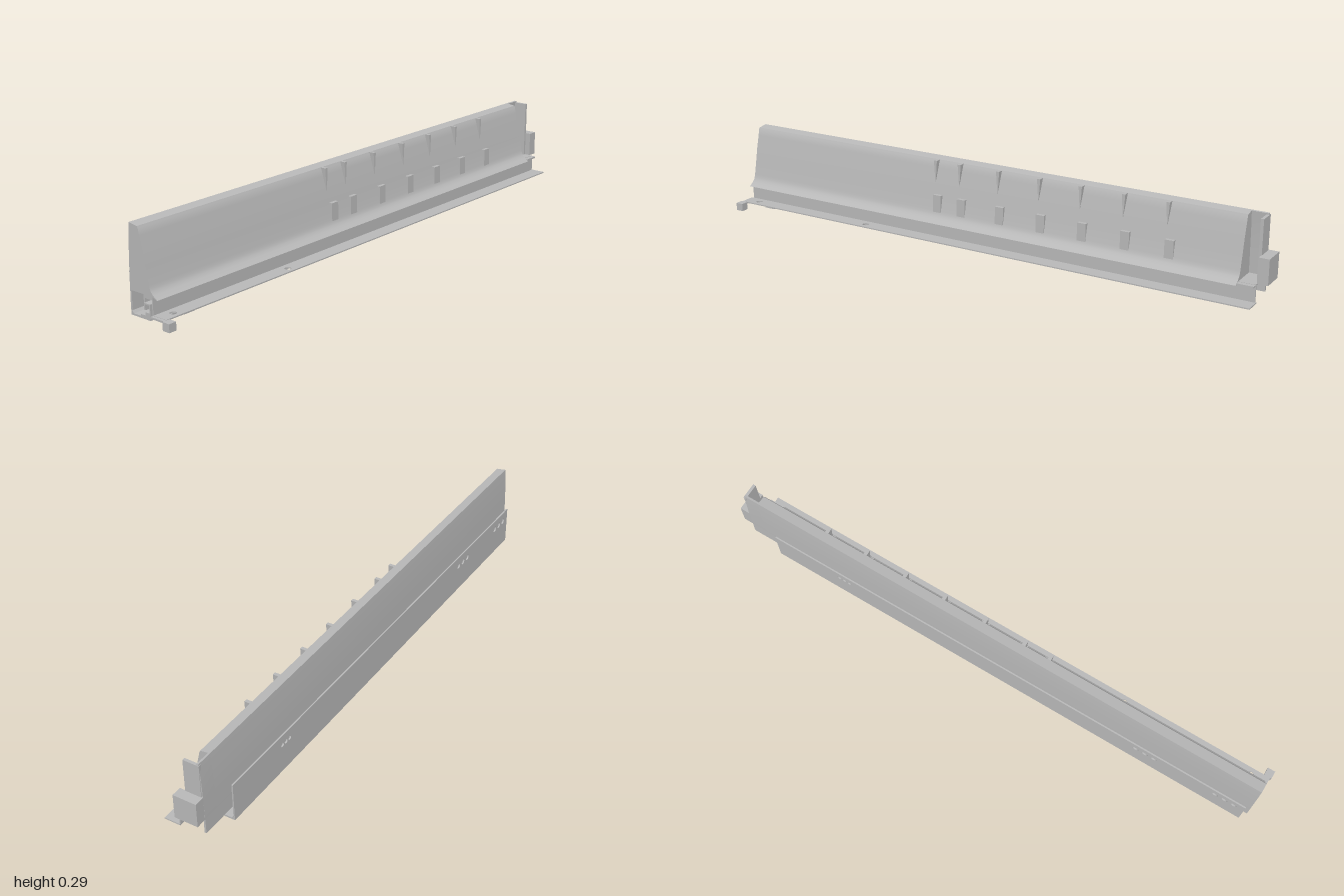
import * as THREE from 'three';
import { toCreasedNormals } from 'three/addons/utils/BufferGeometryUtils.js';

export function createModel() {
  const model = new THREE.Group();
  model.name = 'drawerSideAndRunner';
  const steel = new THREE.MeshStandardMaterial({ color: 0xb8b8b8 });
  steel.name = 'greySteel';

  const add = (name, geo) => {
    const mesh = new THREE.Mesh(geo, steel);
    mesh.name = name;
    model.add(mesh);
    return mesh;
  };
  const shapeOf = (pts) => new THREE.Shape(pts.map(([a, b]) => new THREE.Vector2(a, b)));
  const extrude = (shape, depth) =>
    new THREE.ExtrudeGeometry(shape, { depth, bevelEnabled: false, curveSegments: 10 });
  // Cross-section in x, y run along z
  const rail = (name, pts, z0, z1) =>
    add(name, toCreasedNormals(extrude(shapeOf(pts), z1 - z0).translate(0, 0, z0), 0.35));
  const box = (name, x0, x1, y0, y1, z0, z1) =>
    add(name, new THREE.BoxGeometry(x1 - x0, y1 - y0, z1 - z0)
      .translate((x0 + x1) / 2, (y0 + y1) / 2, (z0 + z1) / 2));
  const hole = (shape, x, y, r) => {
    const p = new THREE.Path();
    p.absarc(x, y, r, 0, Math.PI * 2, true);
    shape.holes.push(p);
  };

  // Tall tapered drawer side with a flared lip
  rail('sidePanel', [
    [-0.071, 0.29], [-0.075, 0.24], [-0.078, 0.16], [-0.079, 0.085], [0.012, 0.085],
    [0.03, 0.078], [0.034, 0.078], [0.018, 0.089], [0.009, 0.098], [0.005, 0.106],
    [0.002, 0.116], [-0.009, 0.168], [-0.018, 0.214], [-0.029, 0.258], [-0.034, 0.28], [-0.037, 0.285],
  ], -0.91, 0.985);

  // Outer skirt, and its upward extension past the panel at the rear
  rail('outerSkirt', [[-0.079, 0.085], [-0.08, 0.034], [-0.073, 0.034], [-0.073, 0.085]], -0.965, 0.985);
  rail('rearSkin', [[-0.071, 0.29], [-0.075, 0.24], [-0.078, 0.16], [-0.079, 0.085],
    [-0.073, 0.085], [-0.071, 0.16], [-0.068, 0.24], [-0.064, 0.289]], -0.965, -0.91);

  // Rear bracket and hook block
  box('rearBracket', -0.073, -0.017, 0.085, 0.285, -0.967, -0.957);
  box('rearBracketFloor', -0.073, 0.014, 0.08, 0.086, -0.965, -0.91);
  box('rearLip', 0.012, 0.03, 0.079, 0.085, -0.965, -0.91);
  box('rearHookBlock', -0.078, 0.003, 0.085, 0.17, -1, -0.965);

  // Inner skirt and floor flange with fixing holes
  box('innerSkirt', 0.011, 0.015, 0.025, 0.085, -0.967, 0.985);
  const flange = shapeOf([[0.011, -0.97], [0.067, -0.97], [0.067, 0.985], [0.011, 0.985]]);
  hole(flange, 0.043, 0.455, 0.011);
  hole(flange, 0.043, 0.935, 0.011);
  add('floorFlange', extrude(flange, 0.004).rotateX(Math.PI / 2).translate(0, 0.029, 0));

  // Front release catch
  box('catchBlock', 0.068, 0.095, 0.001, 0.028, 0.973, 1);
  box('catchArm', 0.014, 0.07, 0.022, 0.028, 0.973, 0.995);
  box('catchLever', 0.015, 0.03, 0.013, 0.022, 0.48, 0.97);
  box('catchPad', 0.036, 0.052, 0.016, 0.025, 0.86, 0.9);

  // Locating wedges along the top and rectangular lugs below
  [0.2, 0.105, -0.045, -0.2, -0.352, -0.505, -0.657].forEach((z) => {
    const g = extrude(shapeOf([[-0.04, 0.285], [-0.022, 0.21], [-0.017, 0.21], [-0.017, 0.285]]), 0.012)
      .translate(0, 0, -0.006);
    const p = g.attributes.position;
    for (let i = 0; i < p.count; i++) {
      p.setZ(i, z + p.getZ(i) * (0.15 + 0.85 * (p.getY(i) - 0.21) / 0.075));
    }
    g.computeVertexNormals();
    add('topWedge', g);
    rail('sideLug', [[-0.015, 0.17], [-0.002, 0.105], [0.004, 0.108], [0.003, 0.17]],
      z - 0.033, z - 0.002);
  });

  // Fixed cabinet rail: upright plate with groups of screw holes
  const upright = shapeOf([[-0.85, 0], [0.97, 0], [0.97, 0.135], [-0.85, 0.135]]);
  [[-0.57, 0.02, 0.008], [0.605, 0.034, 0.011], [0.9, 0.034, 0.011]].forEach(([z, step, r]) => {
    for (let i = -1; i <= 1; i++) hole(upright, z + i * step, 0.1, r);
  });
  add('cabinetUpright', extrude(upright, 0.005).rotateY(-Math.PI / 2).translate(-0.092, 0, 0));

  // Base of the fixed rail, with its raised inner hook
  rail('cabinetBase', [
    [-0.092, 0], [-0.015, 0], [-0.015, 0.05], [-0.04, 0.05], [-0.04, 0.034], [-0.036, 0.034],
    [-0.036, 0.046], [-0.019, 0.046], [-0.019, 0.022], [-0.036, 0.022], [-0.036, 0.012],
    [-0.056, 0.012], [-0.056, 0.006], [-0.086, 0.006], [-0.092, 0.014],
  ], -0.85, 0.97);

  // Sliding middle member wrapped over the hook
  rail('middleMember', [
    [-0.052, 0.022], [-0.047, 0.022], [-0.047, 0.06], [-0.004, 0.06], [-0.004, 0.01],
    [0.002, 0.01], [0.002, 0.073], [-0.01, 0.073], [-0.01, 0.084], [-0.048, 0.084], [-0.052, 0.076],
  ], -0.9, 0.96);
  rail('guideStrip', [[0.004, 0.01], [0.012, 0.01], [0.012, 0.025], [0.008, 0.048], [0.004, 0.048]], 0.2, 0.97);
  box('slideBearing', -0.016, -0.005, 0.01, 0.044, -0.4, 0.9);
  box('lowerStop', -0.014, 0.003, 0.008, 0.022, 0.28, 0.42);

  // Support rollers
  for (const z of [0.92, 0.55]) {
    add('roller', new THREE.CylinderGeometry(0.025, 0.025, 0.009, 24)
      .rotateZ(Math.PI / 2).translate(-0.059, 0.055, z));
  }
  return model;
}
